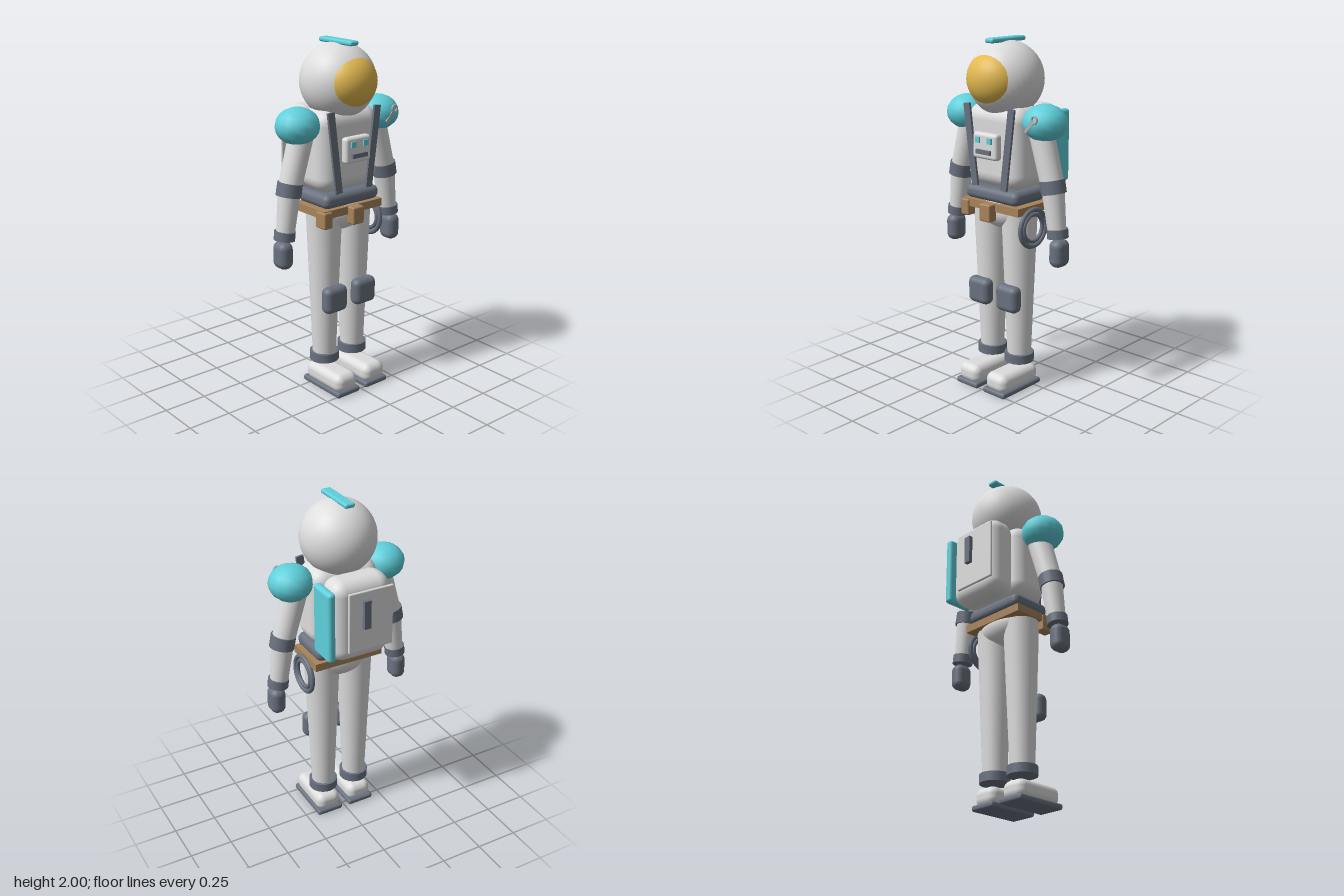
import * as THREE from 'three';
import { RoundedBoxGeometry } from 'three/addons/geometries/RoundedBoxGeometry.js';

const paint = (name, color) => {
  const m = new THREE.MeshStandardMaterial({ color });
  m.name = name;
  return m;
};

export function createModel() {
  const white = paint('suit white', 0xdddddd);
  const teal = paint('teal', 0x5fd0dc);
  const dark = paint('slate grey', 0x6a7280);
  const gold = paint('visor gold', 0xe2b84f);
  const tan = paint('belt tan', 0xa8845a);
  const metal = paint('badge metal', 0xb4b2b0);

  const model = new THREE.Group();
  model.name = 'spaceSuitFigure';

  const add = (name, geometry, material, x, y, z) => {
    const mesh = new THREE.Mesh(geometry, material);
    mesh.name = name;
    mesh.position.set(x, y, z);
    model.add(mesh);
    return mesh;
  };
  // Rounded box given by size and centre
  const rbox = (name, mat, [w, h, d], r, x, y, z) =>
    add(name, new RoundedBoxGeometry(w, h, d, 4, r), mat, x, y, z);
  const ball = (name, mat, [rx, ry, rz], x, y, z, ws = 40, hs = 28) =>
    add(name, new THREE.SphereGeometry(1, ws, hs).scale(rx, ry, rz), mat, x, y, z);
  // Tapered cylinder between two points
  const limb = (name, mat, a, b, ra, rb) => {
    const from = new THREE.Vector3(...a), to = new THREE.Vector3(...b);
    const dir = from.clone().sub(to);
    const mid = from.clone().add(to).multiplyScalar(0.5);
    const mesh = add(name, new THREE.CylinderGeometry(ra, rb, dir.length(), 24), mat, mid.x, mid.y, mid.z);
    mesh.quaternion.setFromUnitVectors(new THREE.Vector3(0, 1, 0), dir.normalize());
    return mesh;
  };

  const Z = 0.048; // body axis depth

  // Head
  ball('helmet', white, [0.21, 0.21, 0.212], 0, 1.775, 0.042);
  ball('visor', gold, [0.165, 0.153, 0.145], 0, 1.78, 0.13);
  rbox('helmetCrest', teal, [0.06, 0.027, 0.27], 0.012, 0, 1.9865, 0.046);

  // Torso, waist and hips
  rbox('torso', white, [0.41, 0.46, 0.25], 0.085, 0, 1.41, Z);
  rbox('waistBand', dark, [0.39, 0.08, 0.265], 0.035, 0, 1.142, Z);
  add('belt', new THREE.BoxGeometry(0.42, 0.045, 0.26), tan, 0, 1.077, Z);
  ball('hips', white, [0.185, 0.11, 0.125], 0, 1.045, Z);

  // Belt pouches
  rbox('frontPouch', tan, [0.08, 0.1, 0.06], 0.01, 0, 1.05, 0.195);
  rbox('sidePouch', tan, [0.06, 0.095, 0.08], 0.01, -0.186, 1.047, 0.15);
  rbox('coilHolder', tan, [0.03, 0.06, 0.05], 0.006, 0.195, 1.06, 0.058);

  // Coiled tether on the left hip
  for (const [radius, tube] of [[0.104, 0.014], [0.077, 0.012]]) {
    const ring = add('tetherCoil', new THREE.TorusGeometry(radius, tube, 10, 36), dark, 0.214, 0.972, 0.058);
    ring.rotation.y = Math.PI / 2;
  }

  // Chest control panel
  rbox('chestPanel', white, [0.178, 0.145, 0.05], 0.018, 0, 1.423, 0.195);
  for (const s of [-1, 1]) {
    add('panelButton', new THREE.BoxGeometry(0.03, 0.032, 0.014), teal, s * 0.043, 1.457, 0.222);
  }
  add('panelSlot', new THREE.BoxGeometry(0.105, 0.024, 0.018), dark, 0, 1.393, 0.224);

  // Life-support pack
  rbox('backpack', white, [0.352, 0.475, 0.185], 0.075, 0, 1.393, -0.15);
  rbox('packPlate', white, [0.272, 0.355, 0.016], 0.007, -0.034, 1.4, -0.25);
  add('packLatch', new THREE.BoxGeometry(0.04, 0.165, 0.026), dark, 0, 1.445, -0.268);
  rbox('packSidePanel', teal, [0.047, 0.41, 0.175], 0.02, 0.196, 1.395, -0.162);

  // Mirrored straps, arms and legs
  for (const s of [-1, 1]) {
    const strap = add('chestStrap', new THREE.BoxGeometry(0.044, 0.458, 0.014), dark, s * 0.136, 1.413, 0.179);
    strap.rotation.z = -s * 0.128;

    ball('shoulderPad', teal, [0.124, 0.101, 0.123], s * 0.285, 1.565, Z, 14, 10);
    limb('upperArm', white, [s * 0.25, 1.55, Z], [s * 0.345, 1.22, Z], 0.07, 0.064);
    limb('forearm', white, [s * 0.342, 1.24, Z], [s * 0.379, 0.96, Z], 0.064, 0.05);
    limb('elbowBand', dark, [s * 0.338, 1.262, Z], [s * 0.352, 1.19, Z], 0.07, 0.07);
    limb('wristCuff', dark, [s * 0.378, 0.998, Z], [s * 0.384, 0.948, Z], 0.059, 0.059);
    rbox('glove', dark, [0.088, 0.155, 0.112], 0.04, s * 0.395, 0.864, 0.05);

    limb('leg', white, [s * 0.105, 1.05, Z], [s * 0.105, 0.165, Z], 0.102, 0.067);
    rbox('kneePad', dark, [0.155, 0.155, 0.078], 0.035, s * 0.107, 0.557, 0.142);
    limb('ankleBand', dark, [s * 0.105, 0.208, Z], [s * 0.105, 0.156, Z], 0.085, 0.085);
    rbox('boot', white, [0.152, 0.11, 0.31], 0.045, s * 0.105, 0.072, 0.113);
    rbox('bootSole', dark, [0.165, 0.034, 0.325], 0.014, s * 0.105, 0.017, 0.112);
  }

  // Shoulder badge: small ring with a handle
  add('badgeRing', new THREE.TorusGeometry(0.018, 0.006, 8, 20), metal, 0.31, 1.597, 0.165);
  const handle = add('badgeHandle', new THREE.BoxGeometry(0.018, 0.082, 0.008), metal, 0.277, 1.556, 0.166);
  handle.rotation.z = -0.75;

  return model;
}
